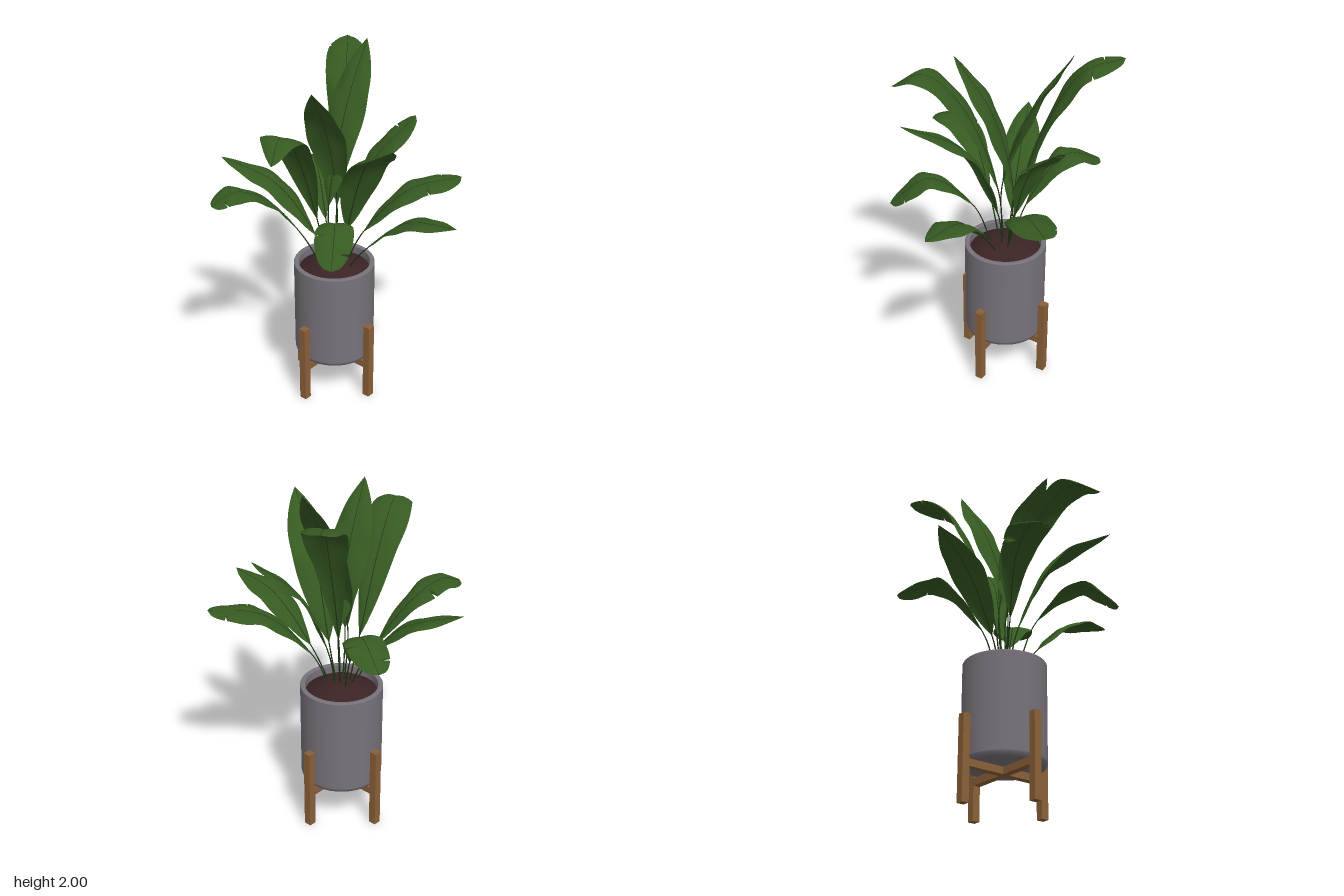
import * as THREE from 'three';

const CX = -0.0875, CZ = -0.0625; // axis of pot and stand

const mat = (name, color, side = THREE.FrontSide) => {
  const m = new THREE.MeshStandardMaterial({ color, side });
  m.name = name;
  return m;
};

// Each leaf: half width, whether the tip is blunt, and midrib points from blade start to tip
const LEAVES = [
  [0.1, false, [0.14, 0.96, -0.07], [0.4, 1.2, -0.09], [0.7, 1.265, -0.1]],
  [0.12, false, [0, 1.03, -0.07], [0.19, 1.49, 0.01], [0.5, 1.725, 0.18]],
  [0.1, true, [0.02, 1.05, 0.08], [0.19, 1.25, 0.25], [0.315, 1.1, 0.42]],
  [0.115, false, [-0.14, 1.08, 0.02], [-0.1, 1.55, 0.22], [-0.02, 1.73, 0.42], [0.065, 1.655, 0.57]],
  [0.105, true, [-0.18, 1.0, 0.1], [-0.28, 1.25, 0.27], [-0.34, 1.34, 0.45], [-0.365, 1.3, 0.585]],
  [0.1, false, [-0.2, 0.94, -0.03], [-0.42, 1.22, 0.05], [-0.71, 1.34, 0.18]],
  [0.105, true, [-0.2, 1.0, -0.12], [-0.4, 1.27, -0.25], [-0.61, 1.18, -0.35]],
  [0.115, true, [-0.12, 1.1, -0.12], [-0.2, 1.62, -0.27], [-0.29, 1.86, -0.4], [-0.42, 1.92, -0.56]],
  [0.11, false, [-0.1, 1.15, -0.03], [-0.125, 1.66, -0.2], [-0.155, 2.0, -0.41]],
  [0.1, true, [-0.06, 1.02, -0.14], [0.01, 1.38, -0.28], [0.12, 1.6, -0.5]],
  [0.115, true, [0.03, 0.98, -0.17], [0.2, 1.23, -0.36], [0.38, 1.28, -0.59]],
  [0.11, false, [-0.1, 1.15, -0.1], [-0.07, 1.58, 0.01], [0, 1.9, 0.205]],
];

// Midrib curve: rises from the soil, set a little off the pot axis toward its blade
function leafCurve(points) {
  const p = points.map((q) => new THREE.Vector3(...q));
  const base = new THREE.Vector3(CX, 0.78, CZ).lerp(new THREE.Vector3(p[0].x, 0.78, p[0].z), 0.4);
  return new THREE.CatmullRomCurve3([base, ...p]);
}

// Leaf surface: cross-sections swept along the midrib, arched and rippled
function bladeGeometry(width, blunt, points, curve, cuts) {
  const t0 = 1 / points.length, tip = blunt ? 0.55 : 0.95;
  const start = points[0], end = points[points.length - 1];
  const side = new THREE.Vector3(start[2] - end[2], 0, end[0] - start[0]).normalize();
  const peak = 1 / (1 + tip);
  const peakValue = peak * Math.pow(1 - peak, tip);

  const rows = Array.from({ length: 37 }, (_, i) => i / 36);
  cuts.forEach(({ u }) => rows.push(u - 0.012, u, u + 0.012));
  rows.sort((a, b) => a - b);

  const COLS = 8, positions = [], index = [];
  rows.forEach((u, r) => {
    const t = t0 + (1 - t0) * u;
    const p = curve.getPoint(t);
    const normal = side.clone().cross(curve.getTangent(t)).normalize();
    const w = (width * u * Math.pow(1 - u, tip)) / peakValue;
    for (let c = 0; c <= COLS; c++) {
      const s = (c / COLS) * 2 - 1, a = Math.abs(s);
      const reach = cuts.some((cut) => cut.u === u && cut.edge * s > 0) ? 0.5 : 1;
      const ripple = 0.006 * a * Math.sin(u * 19 + s * 2) * Math.sin(Math.PI * u);
      const lift = w * (0.25 * a - 0.4 * a * a) + ripple;
      const v = p.clone().addScaledVector(side, s * w * reach).addScaledVector(normal, lift);
      positions.push(v.x, v.y, v.z);
      if (r < rows.length - 1 && c < COLS) {
        const k = r * (COLS + 1) + c, n = k + COLS + 1;
        index.push(k, k + 1, n, k + 1, n + 1, n);
      }
    }
  });
  const g = new THREE.BufferGeometry();
  g.setAttribute('position', new THREE.Float32BufferAttribute(positions, 3));
  g.setIndex(index);
  g.computeVertexNormals();
  return g;
}

// Stem and midrib: one tube that tapers toward the tip
function stemGeometry(curve) {
  const N = 48, SIDES = 6;
  const g = new THREE.TubeGeometry(curve, N, 0.0055, SIDES, false);
  const pos = g.attributes.position, v = new THREE.Vector3();
  for (let i = 0; i <= N; i++) {
    const centre = curve.getPointAt(i / N);
    const k = 1 - 0.8 * Math.sqrt(i / N);
    for (let j = 0; j <= SIDES; j++) {
      const id = i * (SIDES + 1) + j;
      v.fromBufferAttribute(pos, id).sub(centre).multiplyScalar(k).add(centre);
      pos.setXYZ(id, v.x, v.y, v.z);
    }
  }
  return g;
}

export function createModel() {
  const model = new THREE.Group();
  model.name = 'pottedPlant';
  const potGrey = mat('potGrey', 0x78727a);
  const wood = mat('wood', 0x8a6038);
  const soilBrown = mat('soilBrown', 0x3a2325);
  const leafGreen = mat('leafGreen', 0x365a22, THREE.DoubleSide);
  const stemGreen = mat('stemGreen', 0x1f3415);

  const addGroup = (name, x = 0, z = 0) => {
    const group = new THREE.Group();
    group.name = name;
    group.position.set(x, 0, z);
    model.add(group);
    return group;
  };
  const add = (parent, name, geometry, material, x = 0, y = 0, z = 0) => {
    const mesh = new THREE.Mesh(geometry, material);
    mesh.name = name;
    mesh.position.set(x, y, z);
    parent.add(mesh);
  };
  const lathe = (pts) => new THREE.LatheGeometry(pts.map(([r, y]) => new THREE.Vector2(r, y)), 48);

  // Pot: separate bands keep the foot, rim and inner edges crisp
  const pot = addGroup('pot', CX, CZ);
  add(pot, 'potBase', lathe([[0, 0.23], [0.21, 0.23]]), potGrey);
  add(pot, 'potFoot', lathe([[0.21, 0.23], [0.222, 0.237], [0.2275, 0.255]]), potGrey);
  add(pot, 'potWall', lathe([[0.2275, 0.255], [0.2275, 0.8]]), potGrey);
  add(pot, 'potRim', lathe([[0.2275, 0.8], [0.224, 0.805], [0.203, 0.805], [0.2, 0.8]]), potGrey);
  add(pot, 'potInside', lathe([[0.2, 0.8], [0.2, 0.72]]), potGrey);
  add(pot, 'soil', lathe([[0.201, 0.755], [0.17, 0.775], [0.12, 0.805], [0.08, 0.82], [0, 0.825]]), soilBrown);

  // Stand: four posts joined by a crossed pair of rails
  const stand = addGroup('stand', CX, CZ);
  for (let i = 0; i < 4; i++) {
    const a = (i * Math.PI) / 2;
    add(stand, 'leg', new THREE.BoxGeometry(0.043, 0.47, 0.043), wood, 0.257 * Math.cos(a), 0.235, 0.257 * Math.sin(a));
  }
  add(stand, 'railAcross', new THREE.BoxGeometry(0.475, 0.04, 0.04), wood, 0, 0.21, 0);
  for (const s of [-1, 1]) {
    add(stand, 'railDeep', new THREE.BoxGeometry(0.04, 0.04, 0.2165), wood, 0, 0.21, s * 0.12825);
  }

  // Foliage: blunt leaves are older and have a torn notch on each edge
  LEAVES.forEach(([width, blunt, ...points], i) => {
    const curve = leafCurve(points);
    const cuts = blunt ? [{ u: 0.5 + 0.07 * (i % 4), edge: 1 }, { u: 0.84, edge: -1 }] : [];
    const leaf = addGroup('leaf');
    add(leaf, 'leafBlade', bladeGeometry(width, blunt, points, curve, cuts), leafGreen);
    add(leaf, 'leafStem', stemGeometry(curve), stemGreen);
  });

  return model;
}
